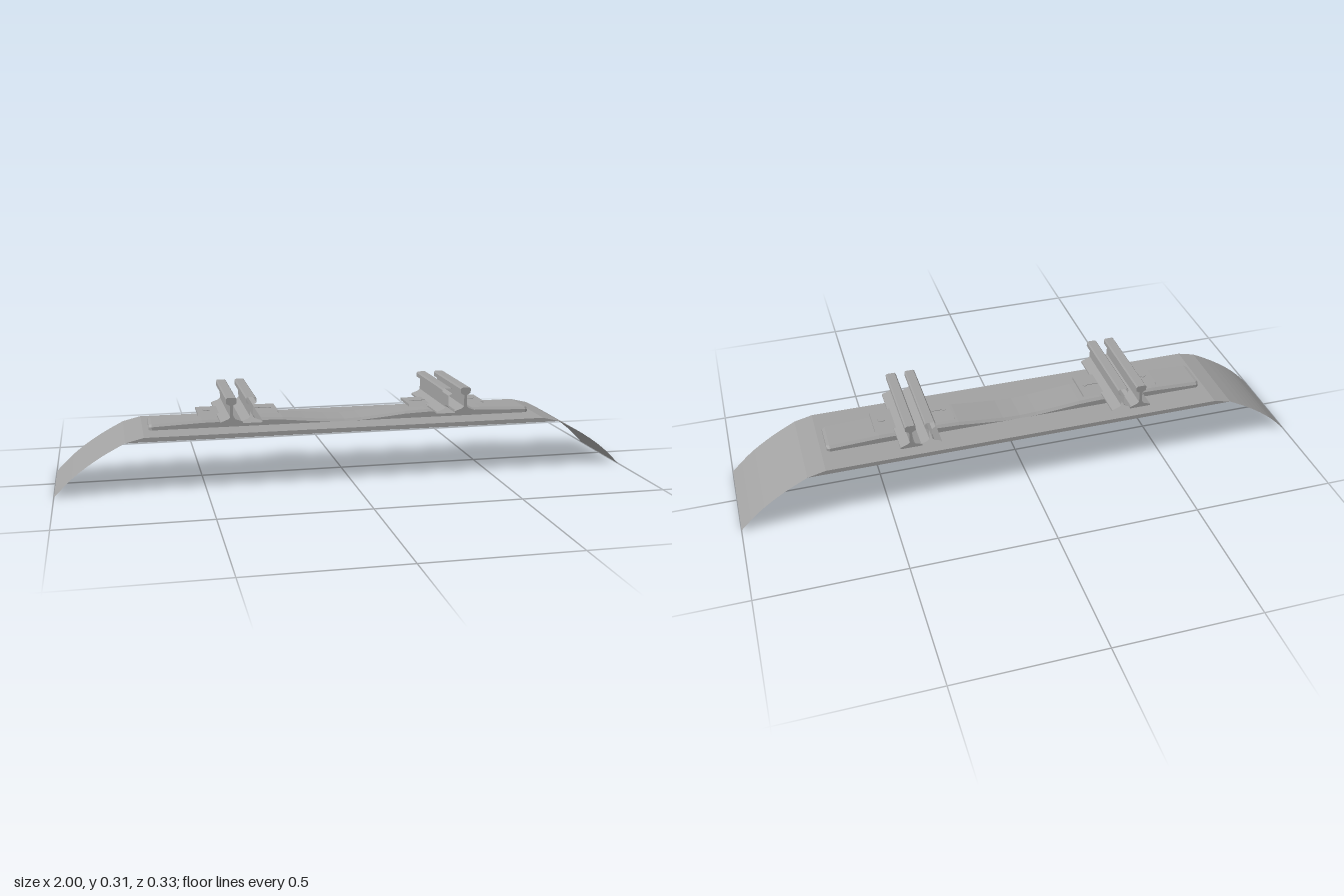
import * as THREE from 'three';

const steel = new THREE.MeshStandardMaterial({ color: 0xa0a0a0, side: THREE.DoubleSide });
steel.name = 'plain grey';
const HALF = 0.163; // half the length of the track piece along z

const named = (geometry, name) => {
  const mesh = new THREE.Mesh(geometry, steel);
  mesh.name = name;
  return mesh;
};

// Flat-shaded surface from quads given as corner triples
function quads(list) {
  const pos = [];
  for (const [a, b, c, d] of list) pos.push(...a, ...b, ...c, ...a, ...c, ...d);
  const g = new THREE.BufferGeometry();
  g.setAttribute('position', new THREE.Float32BufferAttribute(pos, 3));
  g.computeVertexNormals();
  return g;
}

// Open sheet: an xy outline swept from -half to +half along z
function sheet(points, half) {
  const list = [];
  for (let i = 0; i + 1 < points.length; i++) {
    const [ax, ay] = points[i], [bx, by] = points[i + 1];
    list.push([[ax, ay, half], [bx, by, half], [bx, by, -half], [ax, ay, -half]]);
  }
  return quads(list);
}

// Solid: a closed xy outline extruded along z, centred
function solid(points, half) {
  const shape = new THREE.Shape(points.map(([x, y]) => new THREE.Vector2(x, y)));
  const g = new THREE.ExtrudeGeometry(shape, { depth: half * 2, bevelEnabled: false });
  return g.translate(0, 0, -half);
}

// Rail cross-section around its own centre line
function railOutline(cx) {
  const side = [[0.037, 0.22], [0.037, 0.226], [0.012, 0.235], [0.005, 0.242],
    [0.005, 0.281], [0.018, 0.289], [0.018, 0.303], [0.014, 0.308]];
  const mirrored = side.map(([x, y]) => [-x, y]).reverse();
  return [...side, ...mirrored].map(([x, y]) => [x + cx, y]);
}

// Sleeper: chamfered cross-sections along x, dipping at mid length
function sleeperGeometry() {
  const half = [[0, 0.193], [0.06, 0.195], [0.14, 0.202], [0.22, 0.21], [0.3, 0.213],
    [0.5, 0.212], [0.67, 0.205], [0.68, 0.203]];
  const stations = [...half.slice(1).reverse().map(([x, y]) => [-x, y]), ...half];
  const rings = stations.map(([x, top]) => {
    const w = Math.abs(x) > 0.675 ? 0.056 : 0.064;
    return [[x, 0.1715, w], [x, top - 0.008, w], [x, top, w - 0.009],
      [x, top, 0.009 - w], [x, top - 0.008, -w], [x, 0.1715, -w]];
  });
  const list = [];
  for (let i = 0; i + 1 < rings.length; i++) {
    for (let j = 0; j < 6; j++) {
      const k = (j + 1) % 6;
      list.push([rings[i][j], rings[i + 1][j], rings[i + 1][k], rings[i][k]]);
    }
  }
  const first = rings[0], last = rings[rings.length - 1];
  list.push([first[0], first[1], first[4], first[5]], [first[1], first[2], first[3], first[4]]);
  list.push([last[5], last[4], last[1], last[0]], [last[4], last[3], last[2], last[1]]);
  return quads(list);
}

export function createModel() {
  const model = new THREE.Group();
  model.name = 'trackSection';

  // Ballast bed and sleeper
  model.add(named(solid([[-0.762, 0.171], [0.762, 0.171], [0.7, 0.186], [-0.7, 0.186]], HALF), 'ballastBed'));
  model.add(named(sleeperGeometry(), 'sleeper'));

  for (const s of [1, -1]) {
    const side = new THREE.Group();
    side.name = s > 0 ? 'leftSide' : 'rightSide';

    // Curved slope of the bed
    const curve = new THREE.SplineCurve([[0.762, 0.171], [0.847, 0.125], [0.93, 0.067], [1, 0]]
      .map(([x, y]) => new THREE.Vector2(s * x, y)));
    side.add(named(sheet(curve.getPoints(10).map((p) => [p.x, p.y]), HALF), 'bedSlope'));

    // Running rail, and the open-ended guard rail on its inner side
    side.add(named(solid(railOutline(s * 0.409), HALF), 'runningRail'));
    const guard = railOutline(s * 0.342);
    side.add(named(sheet([...guard, guard[0]], HALF), 'guardRail'));

    // Fastening plates on both sides of the rail pair
    for (const [name, near, far] of [['outerPlate', 0.44, 0.512], ['innerPlate', 0.31, 0.235]]) {
      const outline = [[near, 0.225], [far, 0.225], [far, 0.234], [near, 0.234]];
      side.add(named(sheet(outline.map(([x, y]) => [s * x, y]), 0.058), name));
    }

    // Hex bolt outside, small pin and clip inside
    const bolt = named(new THREE.CylinderGeometry(0.014, 0.014, 0.002, 6), 'bolt');
    bolt.position.set(s * 0.48, 0.235, 0);
    const pin = named(new THREE.CylinderGeometry(0.008, 0.008, 0.002, 12), 'pin');
    pin.position.set(s * 0.26, 0.235, 0);
    const clip = named(new THREE.BoxGeometry(0.05, 0.002, 0.005), 'clip');
    clip.position.set(s * 0.285, 0.235, 0);
    side.add(bolt, pin, clip);

    model.add(side);
  }
  return model;
}
